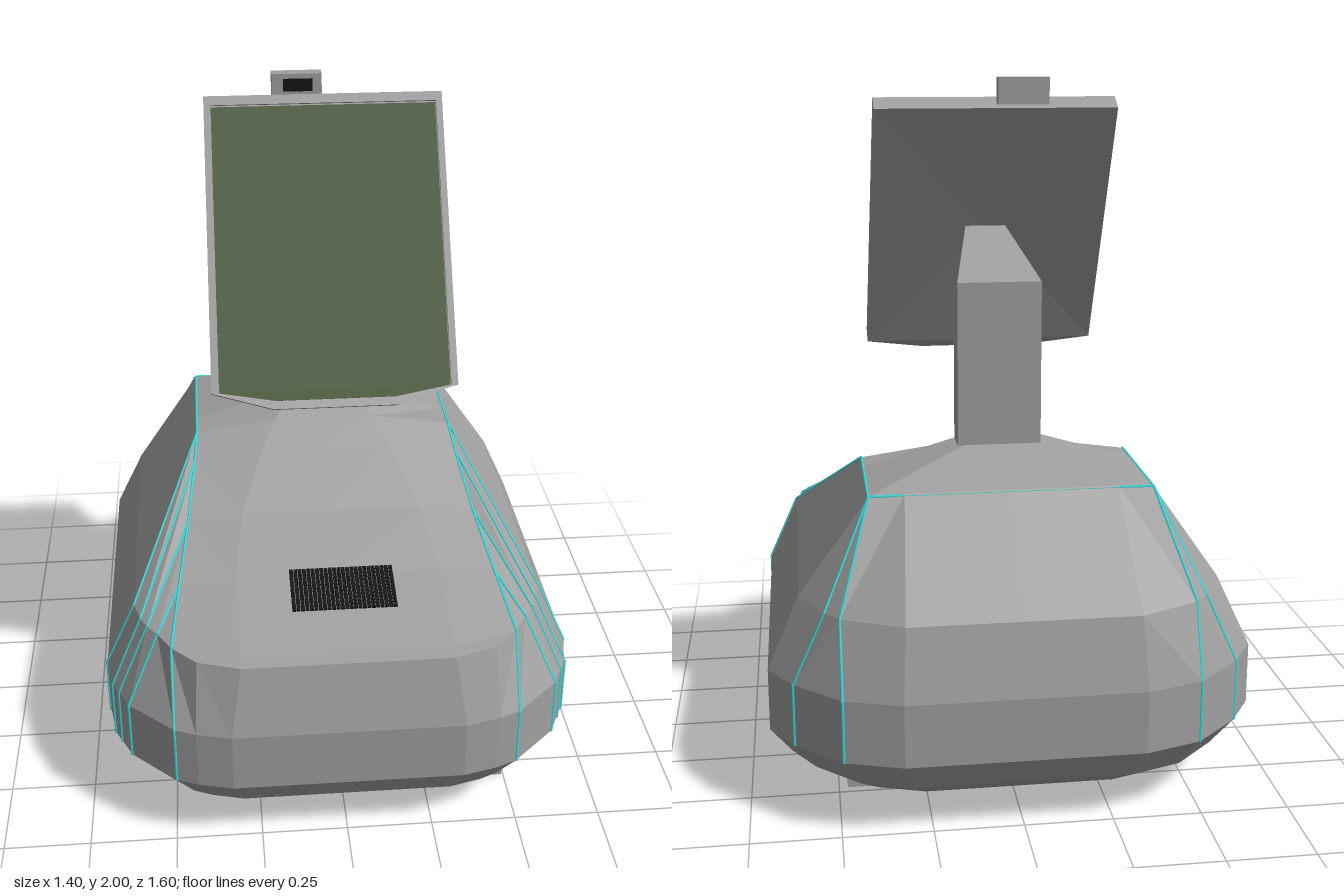
import * as THREE from 'three';
import { mergeGeometries } from 'three/addons/utils/BufferGeometryUtils.js';

const mat = (name, color) => Object.assign(new THREE.MeshStandardMaterial({ color }), { name });

// Collects triangles, optionally mirrored in x, into a faceted geometry
function facets(mirror) {
  const pos = [];
  const tri = (a, b, c) => {
    pos.push(...a, ...b, ...c);
    if (mirror) for (const p of [a, c, b]) pos.push(-p[0], p[1], p[2]);
  };
  const quad = (a, b, c, d) => { tri(a, b, c); tri(a, c, d); };
  const build = () => {
    const g = new THREE.BufferGeometry();
    g.setAttribute('position', new THREE.Float32BufferAttribute(pos, 3));
    g.computeVertexNormals();
    return g;
  };
  return { tri, quad, build };
}

export function createModel() {
  const root = new THREE.Group();
  root.name = 'deskTerminal';
  const grey = mat('shell grey', 0xa0a0a0);
  const cyan = mat('cyan trim', 0x40e0e0);
  const green = mat('screen green', 0x42522f);
  const black = mat('black', 0x141414);

  const add = (name, geo, material, parent = root, x = 0, y = 0, z = 0) => {
    const m = new THREE.Mesh(geo, material);
    m.name = name;
    m.position.set(x, y, z);
    parent.add(m);
    return m;
  };
  const box = (name, w, h, d, material, x, y, z, parent) =>
    add(name, new THREE.BoxGeometry(w, h, d), material, parent, x, y, z);

  // Half outlines [x, z] from front to back, at the belt and at the waist
  const belt = [[0, .8], [.33, .8], [.43, .775], [.49, .75], [.62, .63], [.65, .57], [.67, .53],
    [.69, .42], [.69, .1], [.69, -.1], [.69, -.52], [.62, -.63], [.49, -.75], [.33, -.8], [0, -.8]];
  const waist = [[0, .75], [.3, .75], [.42, .71], [.49, .64], [.53, .57], [.56, .53], [.58, .49],
    [.6, .42], [.6, .1], [.6, -.1], [.6, -.48], [.53, -.62], [.49, -.67], [.32, -.75], [0, -.75]];
  // Deck rows: z, ridge half width, ridge height, edge x, edge height
  const rows = [[.75, .3, .6, .3, .6], [.71, .3, .605, .42, .6], [.64, .3, .62, .49, .6],
    [.42, .3, .675, .465, .66], [.2, .27, .76, .435, .74], [0, .2, .865, .41, .835],
    [-.1, .15, .92, .4, .885], [-.2, .11, .97, .4, .885], [-.3, .11, .97, .4, .885],
    [-.5, .3, .89, .4, .885]]
    .map(([z, xc, yc, xe, ye]) => [[0, yc, z], [xc, yc, z], [xe, ye, z]]);

  // Body: stacked rings, shoulder and deck
  const ring = (pts, y, sx = 1, sz = 1) => pts.map(([x, z]) => [x * sx, y, z * sz]);
  const last = rows[rows.length - 1];
  const shoulder = [rows[0][0], ...rows.map(r => r[2]), last[2], last[2], last[1], last[0]];
  const rings = [ring(belt, .04, .7, .64), ring(belt, .07, .8, .82), ring(belt, .13, .91, .93),
    ring(belt, .22), ring(belt, .4), ring(waist, .6), shoulder];
  const body = facets(true);
  for (let k = 0; k < rings.length - 1; k++) {
    const a = rings[k], b = rings[k + 1];
    for (let i = 0; i < a.length - 1; i++) body.quad(a[i], a[i + 1], b[i + 1], b[i]);
  }
  for (let i = 0; i < belt.length - 1; i++) body.tri([0, .04, 0], rings[0][i + 1], rings[0][i]);
  for (let r = 0; r < rows.length - 1; r++)
    for (let j = 0; j < 2; j++)
      body.quad(rows[r][j], rows[r][j + 1], rows[r + 1][j + 1], rows[r + 1][j]);
  add('body', body.build(), grey);

  // Cyan seam lines along the shell edges
  const seams = [];
  const seam = (...pts) => {
    for (let i = 0; i < pts.length - 1; i++) {
      const a = new THREE.Vector3(...pts[i]), b = new THREE.Vector3(...pts[i + 1]);
      const d = b.clone().sub(a), len = d.length();
      if (len < 1e-4) continue;
      const g = new THREE.CylinderGeometry(.0045, .0045, len, 4);
      g.applyQuaternion(new THREE.Quaternion().setFromUnitVectors(new THREE.Vector3(0, 1, 0), d.normalize()));
      const c = a.add(b).multiplyScalar(.5);
      seams.push(g.translate(c.x, c.y, c.z));
    }
  };
  const flip = p => [-p[0], p[1], p[2]];
  for (const f of [p => p, flip]) {
    for (const i of [3, 4, 5, 6, 7, 11, 12])
      seam(...[shoulder[i], rings[5][i], rings[4][i], rings[3][i]].map(f));
    seam(...shoulder.slice(3, 11).map(f));
  }
  seam(shoulder[10], flip(shoulder[10]));
  add('seamLines', mergeGeometries(seams), cyan);

  // Speaker grille: a field of small black cells
  const cells = [];
  for (let i = 0; i < 24; i++)
    for (let j = 0; j < 12; j++)
      cells.push(new THREE.BoxGeometry(.0108, .008, .0108)
        .translate((i - 11.5) * .0127, 0, (j - 5.5) * .0132));
  add('speakerGrille', mergeGeometries(cells), black, root, .008, .664, .478).rotation.x = .245;

  // Feet
  for (const [x, z, w, d] of [[-.23, .54, .16, .04], [.42, .54, .15, .04],
    [-.405, -.39, .115, .17], [.41, -.39, .13, .17]])
    box('foot', w, .08, d, grey, x, .04, z);

  // Side port
  const plug = add('portPlug', new THREE.CylinderGeometry(.013, .013, .03, 8), cyan, root, -.69, .26, -.26);
  plug.rotation.z = Math.PI / 2;
  box('portSocket', .012, .03, .03, black, -.688, .25, -.3);
  box('portSocket', .012, .02, .02, black, -.688, .25, -.22);

  // Neck: bent profile extruded across x, tapering toward the screen
  const profile = new THREE.Shape([[-.305, .93], [-.2, .93], [-.2, 1.385], [.045, 1.52], [.015, 1.56],
    [-.305, 1.44]].map(p => new THREE.Vector2(...p)));
  const neck = new THREE.ExtrudeGeometry(profile, { depth: .24, bevelEnabled: false });
  neck.translate(0, 0, -.12).rotateY(-Math.PI / 2);
  // the turn sends profile x to z
  const p = neck.attributes.position;
  for (let i = 0; i < p.count; i++)
    if (p.getZ(i) > -.1) p.setX(i, p.getX(i) * .5);
  neck.computeVertexNormals();
  add('neck', neck, grey, root, .01, 0, 0);

  // Tilted screen head
  const head = new THREE.Group();
  head.name = 'screenHead';
  head.position.set(.005, 1.57, .045);
  head.rotation.x = -.52;
  root.add(head);

  // Panel with a back sloping in to the neck joint
  const B = -.4265, T = .4265;
  const front = [[-.355, B, 0], [.355, B, 0], [.345, T, 0], [-.345, T, 0]];
  const back = front.map(([x, y]) => [x, y, -.05]);
  const panel = facets(false);
  panel.quad(...front);
  for (let i = 0; i < 4; i++) {
    const j = (i + 1) % 4;
    panel.quad(front[j], front[i], back[i], back[j]);
    panel.tri(back[j], back[i], [0, 0, -.02]);
  }
  add('screenPanel', panel.build(), grey, head);

  // Flat outline given thickness; anything below the panel edge bends forward
  const plate = (name, pts, z, depth, material) => {
    const g = new THREE.ExtrudeGeometry(new THREE.Shape(pts.map(q => new THREE.Vector2(...q))),
      { depth, bevelEnabled: false });
    g.translate(0, 0, z);
    const a = g.attributes.position;
    for (let i = 0; i < a.count; i++)
      if (a.getY(i) < B) a.setZ(i, a.getZ(i) + (B - a.getY(i)) * .58);
    g.computeVertexNormals();
    add(name, g, material, head);
  };
  plate('screenLip', [[-.18, -.479], [.18, -.479], [.355, B], [-.355, B]], -.05, .05, grey);
  plate('screen', [[-.333, B], [.333, B], [.325, .395], [-.325, .395]], 0, .005, green);
  plate('screenLower', [[-.17, -.455], [.17, -.455], [.333, B], [-.333, B]], 0, .005, green);

  // Raised bezel strips at the top and sides
  plate('bezelTop', [[-.345, .4], [.345, .4], [.345, T], [-.345, T]], 0, .009, grey);
  for (const s of [-1, 1]) {
    const strip = [[s * .335, B], [s * .355, B], [s * .345, T], [s * .327, T]];
    plate('bezelSide', s > 0 ? strip : strip.reverse(), 0, .009, grey);
  }

  // Camera tab
  box('cameraTab', .145, .075, .042, grey, -.07, 1.9625, -.195);
  box('cameraLens', .085, .036, .008, black, -.067, 1.968, -.173);

  return root;
}
